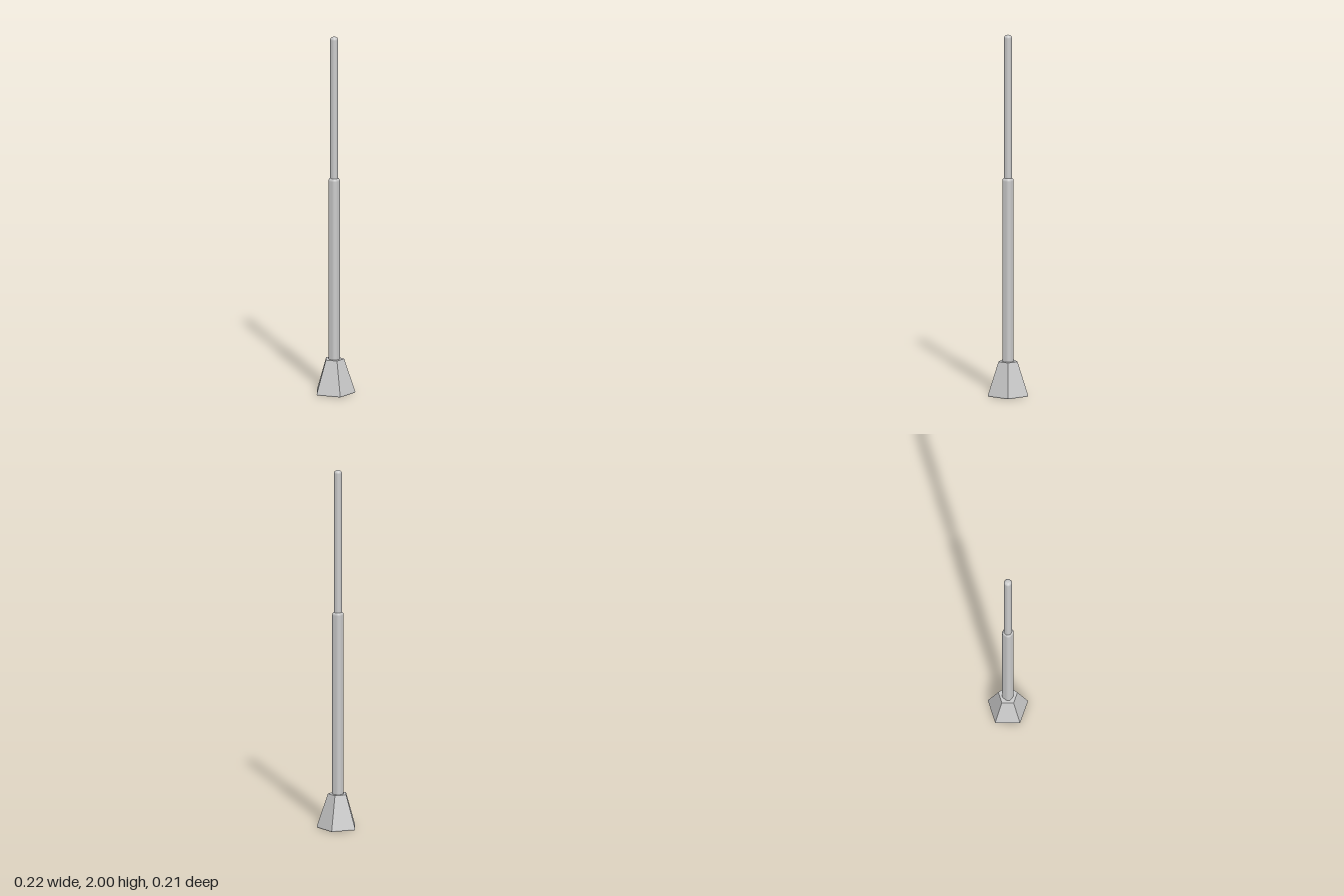
import * as THREE from 'three';
import { RoundedBoxGeometry } from 'three/addons/geometries/RoundedBoxGeometry.js';

const AXIS_Z = 0.01; // centre of the pentagon, so the base is centred in z

export function createModel() {
  const group = new THREE.Group();
  const smooth = new THREE.MeshStandardMaterial({ color: 0xcccccc });
  const flat = new THREE.MeshStandardMaterial({ color: 0xcccccc, flatShading: true });

  function add(name, geometry, material, y) {
    const mesh = new THREE.Mesh(geometry, material);
    mesh.name = name;
    mesh.position.set(0, y, AXIS_Z);
    group.add(mesh);
  }

  // Five-sided frustum between two heights, one corner pointing back
  function frustum(name, topRadius, bottomRadius, y0, y1) {
    const geometry = new THREE.CylinderGeometry(topRadius, bottomRadius, y1 - y0, 5, 1, false, Math.PI);
    add(name, geometry, flat, (y0 + y1) / 2);
  }

  // Rod with softly rounded square section and domed ends
  function rod(name, half, radius, y0, y1) {
    const geometry = new RoundedBoxGeometry(half * 2, y1 - y0, half * 2, 5, radius);
    add(name, geometry, smooth, (y0 + y1) / 2);
  }

  frustum('base', 0.0547, 0.1155, 0.006, 0.19);
  frustum('baseLip', 0.1155, 0.1135, 0, 0.006);
  rod('lowerRod', 0.028, 0.02, 0.15, 1.21);
  rod('upperRod', 0.0205, 0.017, 1.15, 2);

  return group;
}
